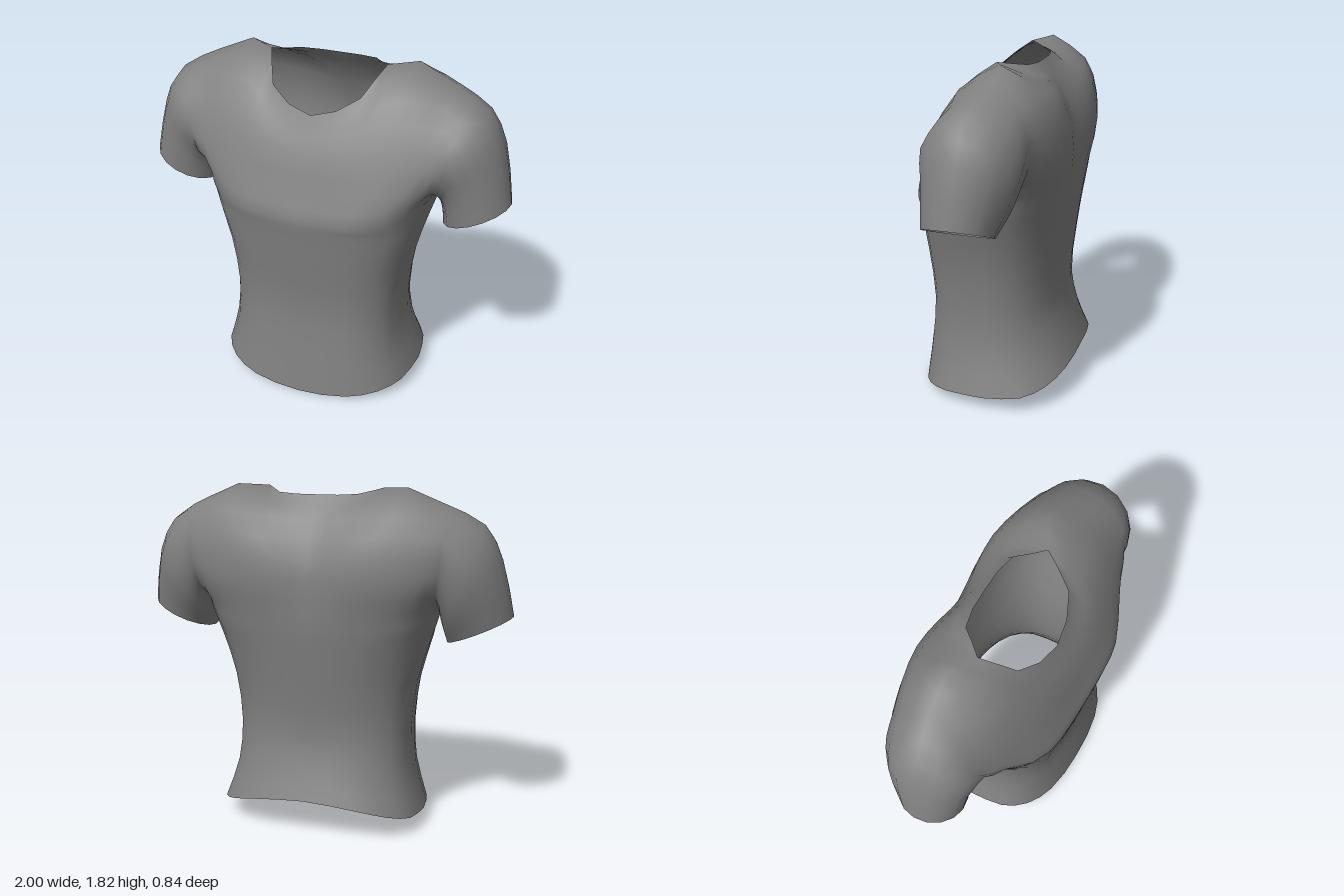
import * as THREE from 'three';
import { mergeGeometries, mergeVertices } from 'three/addons/utils/BufferGeometryUtils.js';

const V = (x, y, z) => new THREE.Vector3(x, y, z);
const STEPS = 2; // subdivisions between control points

// Rounded quarter section from the centre line (y0, depth) to the side seam (w, y1)
function section(y0, y1, w, depth, power = 0.75, zSide = -0.02) {
  return [0, 1, 2, 3, 4].map((k) => {
    const s = Math.sin((k * Math.PI) / 8), c = k === 4 ? 0 : Math.cos((k * Math.PI) / 8);
    return V(w * s ** power, y0 + (y1 - y0) * s ** 1.5, zSide + (depth - zSide) * c ** power);
  });
}

const row = (...points) => points.map((p) => V(...p));

// Smooth a line of points; smoothRow also keeps it smooth across the centre line
const smooth = (pts) => new THREE.CatmullRomCurve3(pts).getPoints((pts.length - 1) * STEPS);
function smoothRow(pts) {
  const [, ...rest] = pts;
  const other = rest.map((p) => V(-p.x, p.y, p.z)).reverse();
  return smooth([...other, ...pts]).slice(rest.length * STEPS);
}
const transpose = (g) => g[0].map((_, i) => g.map((r) => r[i]));

// Smooth a panel both ways, with a straight shoulder seam beside the neckline
function panel(rows) {
  const grid = transpose(transpose(rows.map(smoothRow)).map(smooth));
  const top = grid[grid.length - 1];
  for (let i = 2 * STEPS + 1; i < top.length; i += STEPS) top[i].lerpVectors(top[i - 1], top[i + 1], 0.5);
  grid.forEach((r) => { r[0].x = 0; });
  return grid;
}

// Surface through a grid of points; flip turns the faces over
function surface(grid, flip = false) {
  const n = grid[0].length, index = [];
  for (let j = 0; j < grid.length - 1; j++) {
    for (let i = 0; i < n - 1; i++) {
      const a = j * n + i, b = a + 1, c = b + n, d = a + n;
      index.push(...(flip ? [a, c, b, a, d, c] : [a, b, c, a, c, d]));
    }
  }
  const geo = new THREE.BufferGeometry().setFromPoints(grid.flat());
  geo.setIndex(index);
  return geo;
}

function mirror(geo) {
  const m = geo.clone().scale(-1, 1, 1);
  m.setIndex(Array.from(m.index.array).reverse());
  return m;
}

export function createModel() {
  const fabric = new THREE.MeshStandardMaterial({ color: 0x808080, side: THREE.DoubleSide });
  fabric.name = 'grey fabric';

  // Front half panel, hem to neckline and shoulder seam
  const front = panel([
    section(0.0, 0.08, 0.56, 0.42),
    section(0.27, 0.3, 0.495, 0.385, 0.7),
    section(0.52, 0.53, 0.48, 0.36, 0.65),
    section(0.8, 0.8, 0.51, 0.385, 0.65),
    section(1.0, 1.03, 0.575, 0.405, 0.68),
    row([0, 1.09, 0.41], [0.19, 1.09, 0.41], [0.35, 1.1, 0.39], [0.53, 1.14, 0.28], [0.62, 1.17, -0.01]),
    row([0, 1.21, 0.365], [0.2, 1.22, 0.365], [0.37, 1.24, 0.345], [0.53, 1.27, 0.295], [0.64, 1.28, 0.235]),
    row([0, 1.4, 0.3], [0.19, 1.42, 0.295], [0.36, 1.45, 0.27], [0.53, 1.48, 0.23], [0.67, 1.48, 0.2]),
    row([0, 1.52, 0.24], [0.24, 1.59, 0.195], [0.36, 1.68, 0.14], [0.51, 1.69, 0.11], [0.67, 1.66, 0.08]),
    row([0, 1.58, 0.21], [0.235, 1.68, 0.135], [0.315, 1.81, -0.03], [0.46, 1.82, -0.11], [0.64, 1.745, -0.09]),
  ]);

  // Back half panel
  const back = panel([
    section(0.2, 0.08, 0.56, -0.42),
    section(0.34, 0.3, 0.495, -0.37, 0.85),
    section(0.53, 0.53, 0.48, -0.325, 0.88),
    section(0.8, 0.8, 0.51, -0.345, 0.88),
    section(1.0, 1.03, 0.575, -0.365, 0.8),
    section(1.11, 1.17, 0.62, -0.375, 0.7, -0.01),
    row([0, 1.26, -0.37], [0.2, 1.27, -0.39], [0.38, 1.28, -0.375], [0.54, 1.29, -0.33], [0.64, 1.3, -0.26]),
    row([0, 1.45, -0.36], [0.19, 1.46, -0.385], [0.36, 1.47, -0.385], [0.54, 1.5, -0.345], [0.67, 1.51, -0.3]),
    row([0, 1.66, -0.27], [0.18, 1.67, -0.3], [0.34, 1.69, -0.31], [0.52, 1.69, -0.28], [0.67, 1.66, -0.235]),
    row([0, 1.78, -0.185], [0.21, 1.785, -0.16], [0.315, 1.81, -0.03], [0.46, 1.82, -0.11], [0.64, 1.745, -0.09]),
  ]);

  // Armhole loop: armpit, up the front edge, over the shoulder, down the back edge
  const edge = (grid) => grid.slice(5 * STEPS).map((r) => r[r.length - 1]);
  const armhole = [...edge(front), ...edge(back).reverse().slice(1)];

  // Sleeve rings: outer x, y, inner x, y, front z, back z
  const rings = [
    [0.84, 1.64, 0.64, 1.14, 0.21, -0.285],
    [0.935, 1.47, 0.65, 1.09, 0.185, -0.255],
    [1.0, 1.175, 0.66, 1.025, 0.17, -0.18],
  ];
  const sleeve = armhole.map((p, k) => {
    const a = (k / (armhole.length - 1)) * Math.PI * 2;
    const t = (1 - Math.cos(a)) / 2;
    const line = rings.map(([ox, oy, ix, iy, zf, zb]) =>
      V(ix + (ox - ix) * t, iy + (oy - iy) * t, (zf + zb) / 2 + ((zf - zb) / 2) * Math.sin(a)));
    return smooth([p, ...line]);
  });

  // Join both halves into one smooth garment
  const half = mergeGeometries([surface(front), surface(back, true), surface(sleeve)]);
  const garment = mergeVertices(mergeGeometries([half, mirror(half)]), 1e-4);
  garment.computeVertexNormals();

  const shirt = new THREE.Mesh(garment, fabric);
  shirt.name = 'shirt';
  const group = new THREE.Group();
  group.name = 'shortSleevedShirt';
  group.add(shirt);
  return group;
}
